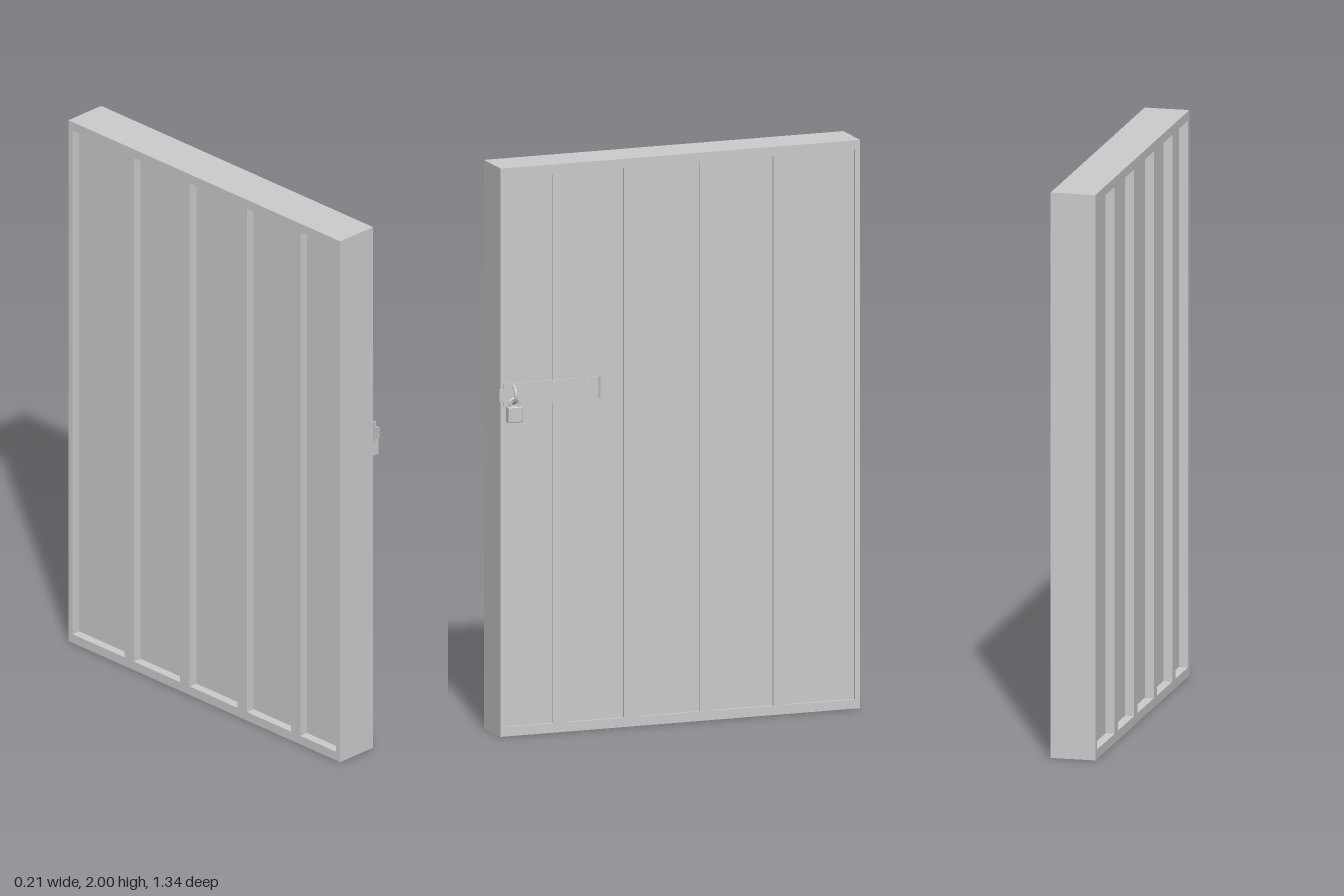
import * as THREE from 'three';

const mat = new THREE.MeshStandardMaterial({ color: 0xcccccc, side: THREE.DoubleSide });

function add(parent, name, geometry, x = 0, y = 0, z = 0) {
  const mesh = new THREE.Mesh(geometry, mat);
  mesh.name = name;
  mesh.position.set(x, y, z);
  parent.add(mesh);
  return mesh;
}

// Box given by its limits on each axis
function block(parent, name, [x0, x1], [y0, y1], [z0, z1]) {
  return add(parent, name, new THREE.BoxGeometry(x1 - x0, y1 - y0, z1 - z0),
    (x0 + x1) / 2, (y0 + y1) / 2, (z0 + z1) / 2);
}

function createDoor() {
  const door = new THREE.Group();
  door.name = 'door';
  const X = [-0.105, 0.054], Z = [-0.67, 0.66], Y = [0, 2];
  const rimY = 0.033, rimZ = 0.02;

  // Outer frame
  block(door, 'frameBottom', X, [0, rimY], Z);
  block(door, 'frameTop', X, [2 - rimY, 2], Z);
  block(door, 'frameBackPost', X, [rimY, 2 - rimY], [Z[0], Z[0] + rimZ]);
  block(door, 'frameFrontPost', X, [rimY, 2 - rimY], [Z[1] - rimZ, Z[1]]);

  // Recessed sheet, deeper on the inner side
  block(door, 'panel', [-0.073, 0.046], [rimY, Y[1] - rimY], [Z[0] + rimZ, Z[1] - rimZ]);

  // Upright ribs flush with the frame
  for (const z of [-0.373, -0.1, 0.18, 0.442]) {
    block(door, 'rib', X, [rimY, 2 - rimY], [z - 0.0235, z + 0.0235]);
  }
  return door;
}

function createHasp() {
  const hasp = new THREE.Group();
  hasp.name = 'hasp';

  // Strap: side profile in (z, x), curling in to the door at its rear end
  const s = new THREE.Shape();
  s.moveTo(0.285, 0.046);
  s.lineTo(0.285, 0.054);
  s.quadraticCurveTo(0.302, 0.058, 0.306, 0.073);
  s.lineTo(0.655, 0.073);
  s.lineTo(0.655, 0.068);
  s.lineTo(0.311, 0.068);
  s.quadraticCurveTo(0.306, 0.052, 0.290, 0.046);
  const strap = new THREE.ExtrudeGeometry(s, { depth: 0.08, bevelEnabled: false, curveSegments: 6 });
  // profile (z, x) extruded along y
  strap.applyMatrix4(new THREE.Matrix4().set(
    0, 1, 0, 0,
    0, 0, 1, 1.165,
    1, 0, 0, 0,
    0, 0, 0, 1));
  add(hasp, 'strap', strap);
  block(hasp, 'strapTip', [0.068, 0.074], [1.185, 1.228], [0.65, 0.672]);

  // Staple: arch standing out of the strap
  const staple = new THREE.CatmullRomCurve3([
    [0.05, 1.235], [0.072, 1.235], [0.09, 1.226], [0.098, 1.205],
    [0.09, 1.184], [0.072, 1.175], [0.05, 1.175],
  ].map(([x, y]) => new THREE.Vector3(x, y, 0.62)));
  add(hasp, 'staple', new THREE.TubeGeometry(staple, 24, 0.006, 8));
  return hasp;
}

function createPadlock() {
  const lock = new THREE.Group();
  lock.name = 'padlock';

  // Body with slightly bevelled edges
  const s = new THREE.Shape();
  const w = 0.025;
  s.moveTo(-w, 0);
  s.lineTo(w, 0);
  s.lineTo(w, 0.05);
  s.lineTo(-w, 0.05);
  const body = new THREE.ExtrudeGeometry(s, {
    depth: 0.02, bevelSize: 0.002, bevelThickness: 0.002, bevelSegments: 1,
  });
  body.rotateY(Math.PI / 2);
  add(lock, 'padlockBody', body, 0.073, 1.113, 0.62);

  // Shackle: two legs and a half-round bow
  const points = [[-0.017, 1.155], [-0.017, 1.172]];
  for (let i = 1; i < 8; i++) {
    const a = Math.PI * (1 - i / 8);
    points.push([Math.cos(a) * 0.017, 1.176 + Math.sin(a) * 0.017]);
  }
  points.push([0.017, 1.172], [0.017, 1.155]);
  const curve = new THREE.CatmullRomCurve3(
    points.map(([z, y]) => new THREE.Vector3(0.083, y, 0.62 + z)));
  add(lock, 'shackle', new THREE.TubeGeometry(curve, 32, 0.005, 8));
  return lock;
}

export function createModel() {
  const model = new THREE.Group();
  model.name = 'lockedDoor';
  model.add(createDoor(), createHasp(), createPadlock());
  return model;
}
